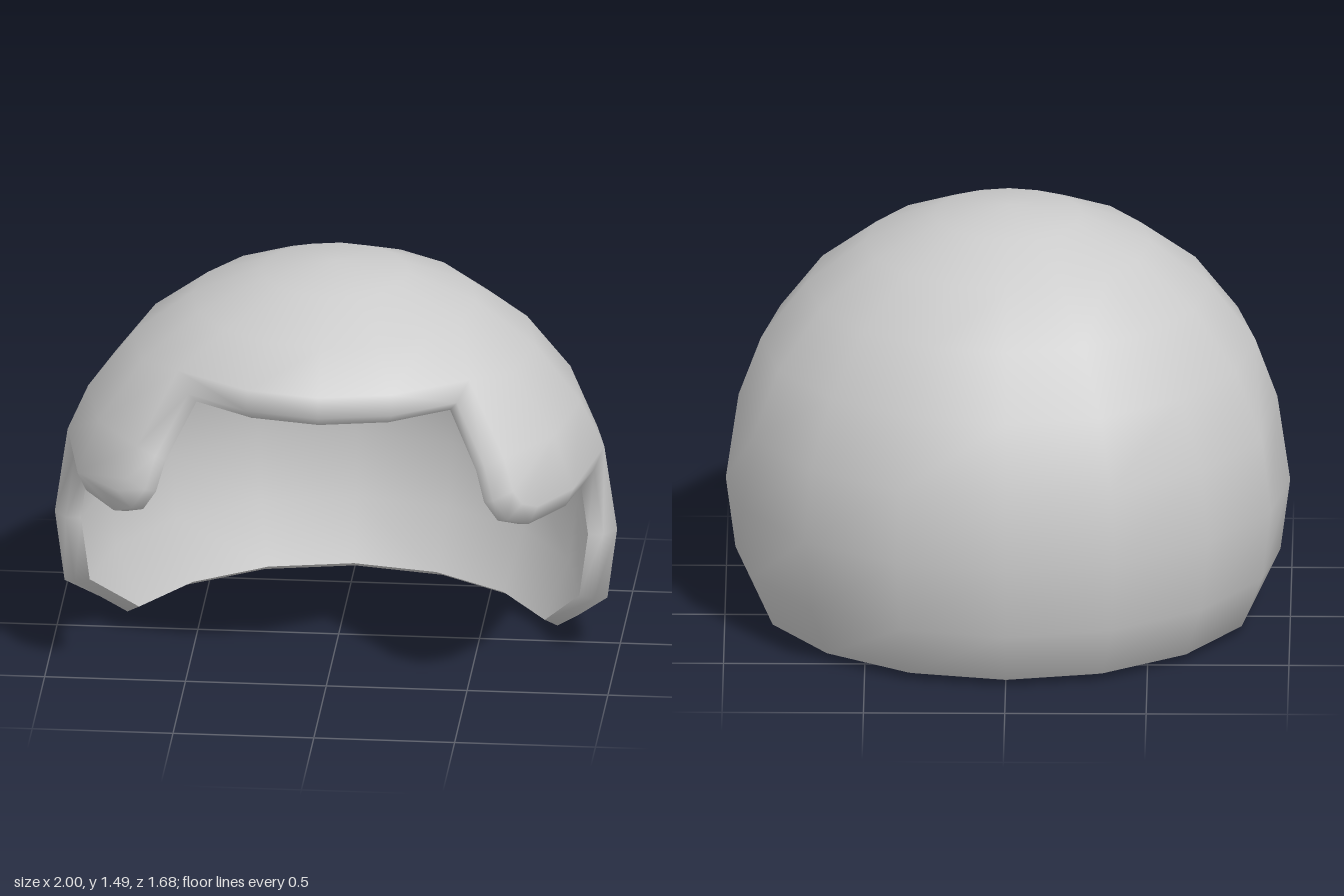
import * as THREE from 'three';

const OUTER = 1.01, RIM = 0.954, INNER = 0.9, BEVEL = 0.06;
const STEP_LON = 22.5, STEP_LAT = 15;
const CENTRE = new THREE.Vector3(0, 0.477, 0.168);

// Direction from the centre; longitude 0 faces the front (+z), 90 is +x
function direction(lon, lat, scale = 1) {
  const a = THREE.MathUtils.degToRad(lon), b = THREE.MathUtils.degToRad(lat);
  return new THREE.Vector3(Math.sin(a) * Math.cos(b), Math.sin(b), Math.cos(a) * Math.cos(b))
    .multiplyScalar(scale);
}

// Lowest latitude of the cap for the column starting at this longitude
function lowerEdge(lon) {
  if (lon < 45) return 45;      // fringe over the face
  if (lon < 90) return 15;      // side flap
  if (lon < 112.5) return -15;  // in front of the nape
  return -30;                   // back
}

// Cells of one half, counter-clockwise seen from outside
function halfCells() {
  const cells = [];
  for (let a = 0; a < 180; a += STEP_LON) {
    const b = a + STEP_LON;
    for (let lat = lowerEdge(a); lat < 90; lat += STEP_LAT) {
      const top = lat + STEP_LAT;
      if (a === 45 && lat === 15) {
        // rounded tip of the side flap, kept flat by a scale below 1
        cells.push([[b, top], [45, top], [45, 22.5, 0.991], [48, 17.5, 0.987], [54.5, 15, 0.983], [b, 15]]);
      } else {
        cells.push([[a, lat], [b, lat], [b, top], [a, top]]);
      }
    }
  }
  // slanted step between side and nape
  cells.push([[90, -15], [112.5, -30], [112.5, -15]]);
  return cells;
}

function makeGeometry(points, index) {
  const geometry = new THREE.BufferGeometry().setFromPoints(points);
  geometry.setIndex(index);
  geometry.computeVertexNormals();
  return geometry;
}

export function createModel() {
  const dirs = [], ids = new Map();
  const vertex = ([lon, lat, scale]) => {
    const l = lat === 90 ? 0 : (lon + 360) % 360;
    const key = `${l},${lat}`;
    if (!ids.has(key)) {
      ids.set(key, dirs.length);
      dirs.push(direction(l, lat, scale));
    }
    return ids.get(key);
  };

  // Both halves as loops of vertex ids, mirrored in x
  const half = halfCells();
  const mirrored = half.map(c => c.map(([lon, ...rest]) => [-lon, ...rest]).reverse());
  const loops = [...half, ...mirrored].map(c => [...new Set(c.map(vertex))]);

  const faces = [], edges = new Set();
  for (const loop of loops) {
    for (let i = 1; i < loop.length - 1; i++) faces.push(loop[0], loop[i], loop[i + 1]);
    loop.forEach((v, i) => edges.add(`${v},${loop[(i + 1) % loop.length]}`));
  }

  // Open edges form the border of the cap; the others lead inward
  const next = new Map(), previous = new Map();
  const inner = dirs.map(() => []);
  for (const edge of edges) {
    const [a, b] = edge.split(',').map(Number);
    if (edges.has(`${b},${a}`)) {
      inner[a].push(b);
    } else {
      next.set(a, b);
      previous.set(b, a);
    }
  }

  // Outer skin, pulled back at the border to leave room for the bevel
  const inward = (at, from, to) =>
    dirs[at].clone().cross(dirs[to].clone().sub(dirs[from])).normalize();
  const outer = dirs.map((d, v) => {
    const p = d.clone().multiplyScalar(OUTER);
    if (!next.has(v)) return p;
    if (inner[v].length === 1) {
      // along the straight side of a cell
      const slide = dirs[inner[v][0]].clone().sub(d).normalize();
      return p.addScaledVector(slide, BEVEL);
    }
    // mitred corner
    const n1 = inward(v, previous.get(v), v), n2 = inward(v, v, next.get(v));
    p.addScaledVector(n1.clone().add(n2), BEVEL / (1 + n1.dot(n2)));
    return p.setLength(d.length() * OUTER - 0.005);
  });

  // Bevel and rim joining the outer skin to the lining
  const count = dirs.length;
  const rim = dirs.map(d => d.clone().multiplyScalar(RIM));
  const lining = dirs.map(d => d.clone().multiplyScalar(INNER));
  const shellIndex = [...faces];
  for (const [a, b] of next) {
    for (let k = 0; k < 2; k++) {
      const o = k * count, i = o + count;
      shellIndex.push(a + o, i + a, i + b, a + o, i + b, b + o);
    }
  }

  const material = new THREE.MeshStandardMaterial({ color: 0xcccccc });
  const group = new THREE.Group();
  group.name = 'cap';
  const parts = {
    outerShell: makeGeometry([...outer, ...rim, ...lining], shellIndex),
    innerLining: makeGeometry(lining, [...faces].reverse()), // same cells, facing inward
  };
  for (const [name, geometry] of Object.entries(parts)) {
    const mesh = new THREE.Mesh(geometry, material);
    mesh.name = name;
    mesh.position.copy(CENTRE);
    group.add(mesh);
  }
  return group;
}
